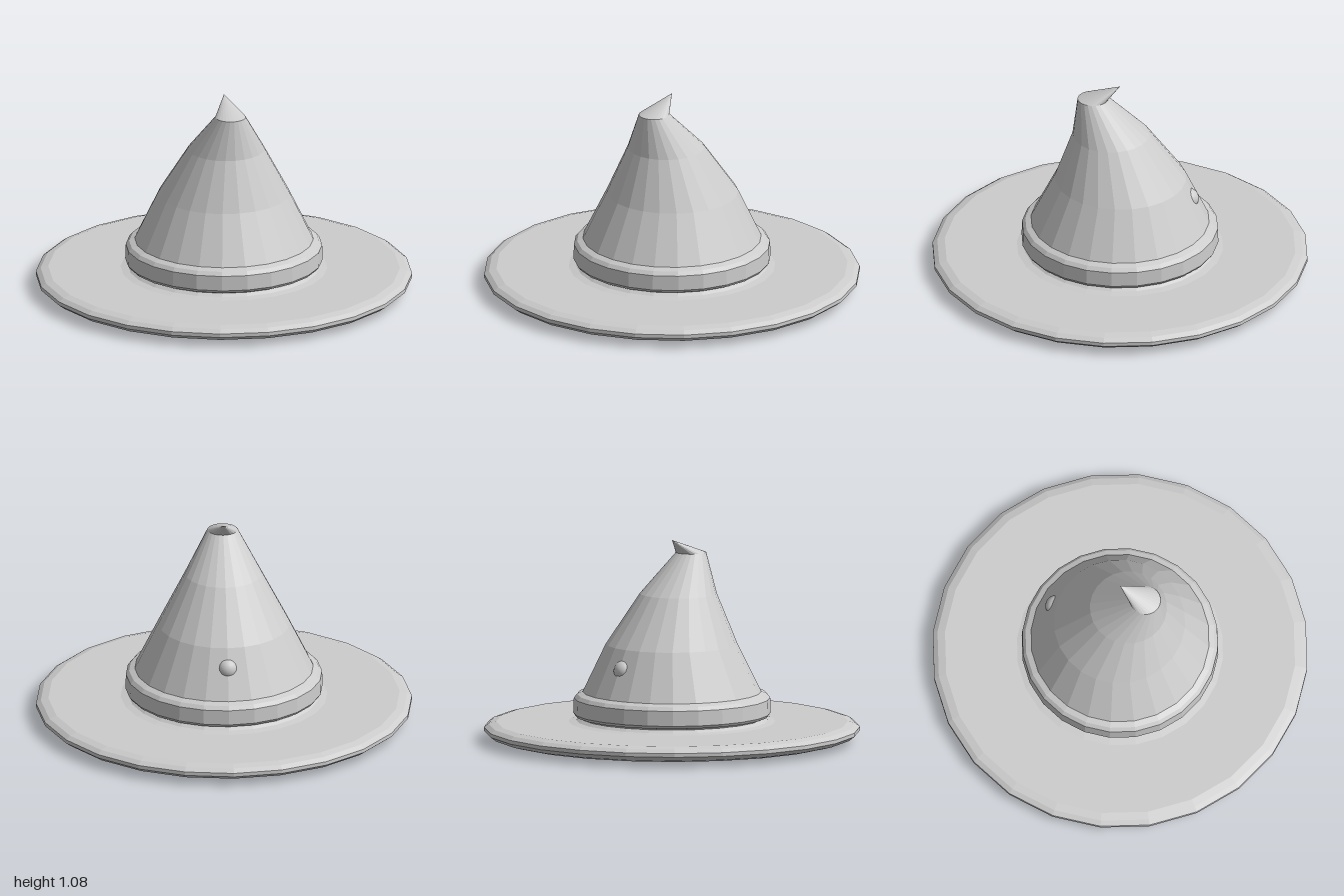
import * as THREE from 'three';

const SIDES = 24;

// Lathe from [radius, y, zShift] rows, listed bottom to top; zShift bends the axis
function bentLathe(rows) {
  const geo = new THREE.LatheGeometry(rows.map(([r, y]) => new THREE.Vector2(r, y)), SIDES);
  const pos = geo.attributes.position;
  for (let i = 0; i < pos.count; i++) {
    pos.setZ(i, pos.getZ(i) + (rows[i % rows.length][2] || 0));
  }
  geo.computeVertexNormals();
  return geo;
}

export function createModel() {
  const hat = new THREE.Group();
  hat.name = 'pointedHat';

  const felt = new THREE.MeshStandardMaterial({ color: 0xcccccc });
  felt.name = 'greyFelt';
  felt.flatShading = true;
  const shiny = new THREE.MeshStandardMaterial({ color: 0xcccccc });
  shiny.name = 'greyButton';

  const add = (name, geo, mat = felt) => {
    const mesh = new THREE.Mesh(geo, mat);
    mesh.name = name;
    hat.add(mesh);
    return mesh;
  };

  // Wide brim with a bevelled rim and a slightly domed underside
  add('brim', bentLathe([
    [0, 0], [0.92, 0.022], [0.97, 0.035], [1, 0.058], [1, 0.078],
    [0.975, 0.096], [0.935, 0.107], [0.55, 0.108], [0.51, 0.115], [0.49, 0.13],
  ]));

  // Band around the base of the crown
  add('band', bentLathe([
    [0.49, 0.13], [0.495, 0.137], [0.515, 0.14], [0.525, 0.155],
    [0.522, 0.235], [0.505, 0.255], [0.475, 0.268],
  ]));

  // Crown leaning forward as it rises
  const top = [0.081, 1.0, 0.145];
  add('crown', bentLathe([
    [0.475, 0.268, 0], [0.35, 0.525, -0.003], [0.205, 0.79, 0.048], top,
  ]));

  // Folded tip pointing backwards
  add('tip', bentLathe([top, [0, 1.08, 0]]));

  // Round button on the back
  add('button', new THREE.SphereGeometry(0.056, 20, 14), shiny).position.set(0, 0.415, -0.365);

  return hat;
}
